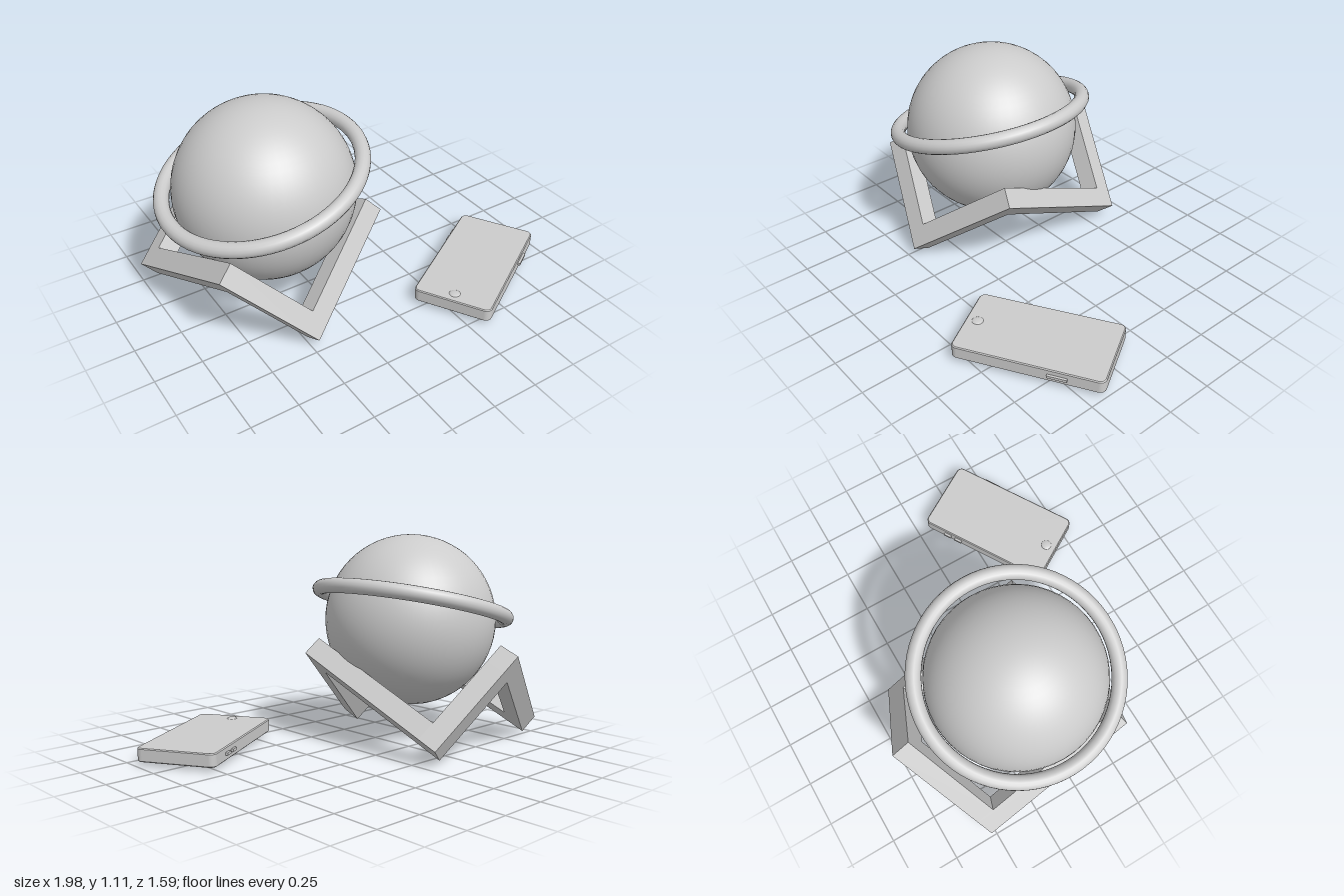
import * as THREE from 'three';

const material = new THREE.MeshStandardMaterial({ color: 0xcccccc });

function addMesh(parent, name, geometry, x = 0, y = 0, z = 0) {
  const mesh = new THREE.Mesh(geometry, material);
  mesh.name = name;
  mesh.position.set(x, y, z);
  parent.add(mesh);
  return mesh;
}

// Zigzag stand: six edges of a tilted box frame, leaving out its top and bottom corners
function createStand() {
  const stand = new THREE.Group();
  stand.name = 'stand';
  const size = [0.74, 0.635, 0.94], t = 0.11;
  const c = new THREE.Vector3(0.095, 0.42, 0.903).normalize();
  const a = new THREE.Vector3(0.727, 0.59, -0.351);
  a.addScaledVector(c, -a.dot(c)).normalize();
  const b = new THREE.Vector3().crossVectors(c, a);
  stand.quaternion.setFromRotationMatrix(new THREE.Matrix4().makeBasis(a, b, c));
  stand.position.set(-0.56, -0.35, -0.37);

  const corners = [[0, 0, 1], [1, 0, 1], [1, 0, 0], [1, 1, 0], [0, 1, 0], [0, 1, 1]];
  corners.forEach((from, i) => {
    const to = corners[(i + 1) % 6];
    const dims = [t, t, t], centre = [0, 0, 0];
    for (let k = 0; k < 3; k++) {
      const start = from[k] ? size[k] - t / 2 : t / 2;
      const dir = to[k] - from[k];
      // each bar owns its starting corner and butts against the next bar
      if (dir) dims[k] = size[k] - t;
      centre[k] = start + dir * (size[k] / 2 - t);
    }
    addMesh(stand, 'standBar' + (i + 1), new THREE.BoxGeometry(...dims), ...centre);
  });
  return stand;
}

// Outline of a rectangle with rounded corners
function roundedRect(w, h, r) {
  const s = new THREE.Shape();
  const x = w / 2 - r, y = h / 2 - r;
  s.absarc(x, y, r, 0, Math.PI / 2);
  s.absarc(-x, y, r, Math.PI / 2, Math.PI);
  s.absarc(-x, -y, r, Math.PI, Math.PI * 1.5);
  s.absarc(x, -y, r, Math.PI * 1.5, Math.PI * 2);
  s.closePath();
  return s;
}

// Flat handset lying beside the stand
function createHandset() {
  const handset = new THREE.Group();
  handset.name = 'handset';
  handset.position.set(0.56, 0.02, 0.437);
  handset.rotation.y = 0.542;

  const bevel = 0.005;
  const body = new THREE.ExtrudeGeometry(roundedRect(0.77 - 2 * bevel, 0.42 - 2 * bevel, 0.028), {
    depth: 0.07 - 2 * bevel, bevelEnabled: true, bevelSize: bevel,
    bevelThickness: bevel, bevelSegments: 1, curveSegments: 6
  });
  body.rotateX(-Math.PI / 2).translate(0, bevel, 0);
  addMesh(handset, 'handsetBody', body);

  const home = addMesh(handset, 'homeButton', new THREE.SphereGeometry(0.03, 24, 12), -0.324, 0.068, -0.003);
  home.scale.y = 0.3;

  addMesh(handset, 'powerButton', new THREE.BoxGeometry(0.1, 0.014, 0.03), 0.155, 0.036, 0.208);
  for (const x of [0.16, 0.23])
    addMesh(handset, 'volumeButton', new THREE.BoxGeometry(0.045, 0.014, 0.03), x, 0.036, -0.208);
  return handset;
}

export function createModel() {
  const model = new THREE.Group();
  model.name = 'ringedGlobeWithHandset';

  addMesh(model, 'globe', new THREE.SphereGeometry(0.466, 48, 32), -0.445, 0.645, -0.07);

  // Tilted ring around the globe
  const ring = addMesh(model, 'ring', new THREE.TorusGeometry(0.515, 0.04, 16, 72), -0.461, 0.728, -0.07);
  ring.quaternion.setFromUnitVectors(
    new THREE.Vector3(0, 0, 1), new THREE.Vector3(-0.265, 1, 0.03).normalize());

  model.add(createStand(), createHandset());
  return model;
}
